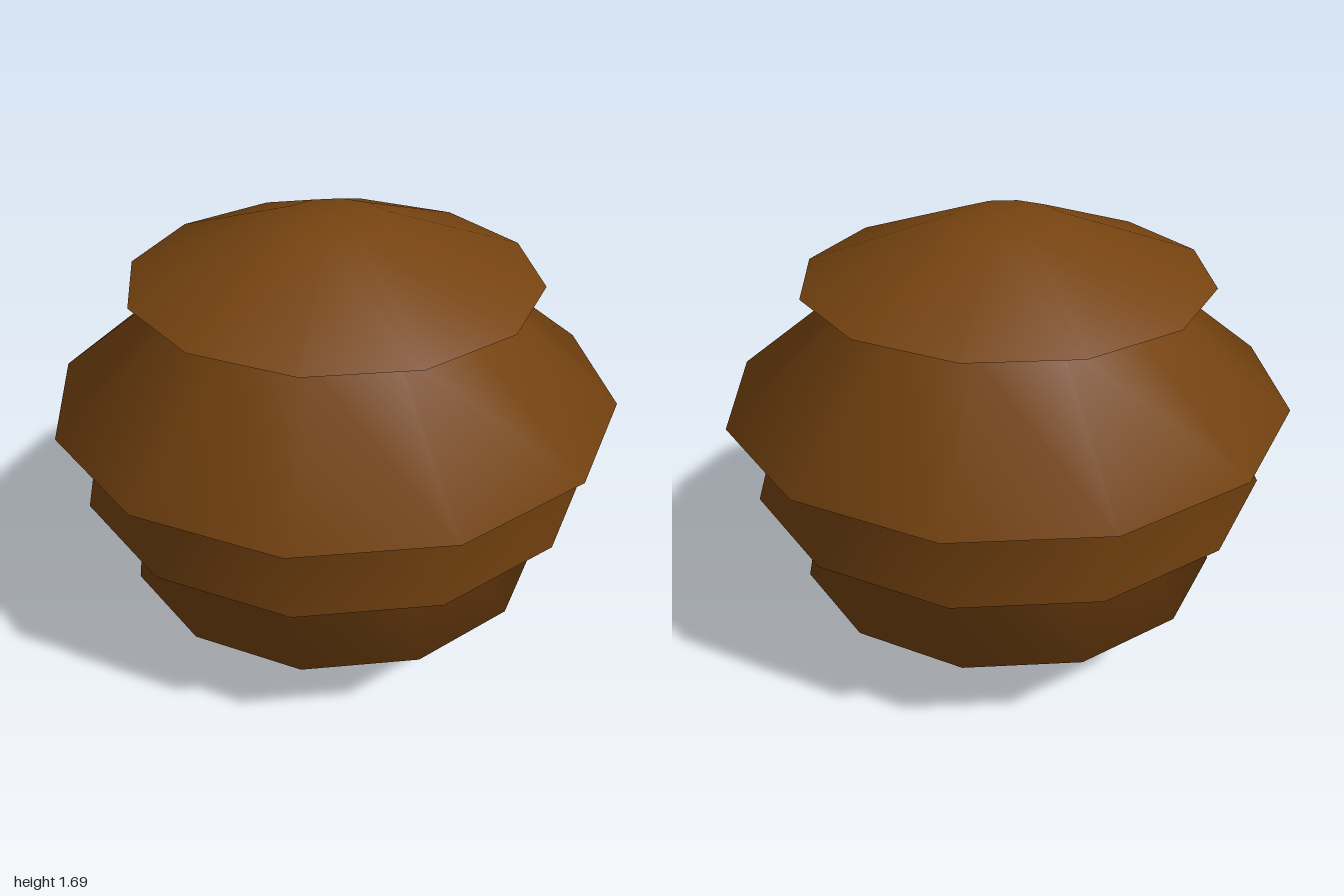
import * as THREE from 'three';

const brown = new THREE.MeshStandardMaterial({ color: 0x764310 });
brown.name = 'brown';

// Half outline from the bottom tip to the top, as [radius, height]
const profile = [
  [0, 0], [0.19, 0.045],          // bottom tip
  [0.487, 0.16], [0.41, 0.325],   // lowest tier
  [0.775, 0.385], [0.62, 0.662],  // second tier
  [0.92, 0.75], [0.66, 1.047],    // third tier
  [1.0, 1.047], [0.53, 1.427],    // widest tier
  [0.712, 1.477], [0.19, 1.674],  // cap
  [0, 1.693],
];

export function createModel() {
  const group = new THREE.Group();
  group.name = 'tieredCone';

  // Twelve-sided, smoothly shaded stack of flared tiers
  const geometry = new THREE.LatheGeometry(
    profile.map(([r, y]) => new THREE.Vector2(r, y)), 12);

  // Vertical normals at both poles keep the tips smooth
  const { position, normal } = geometry.attributes;
  for (let i = 0; i < position.count; i++) {
    if (Math.hypot(position.getX(i), position.getZ(i)) < 1e-6) {
      normal.setXYZ(i, 0, position.getY(i) > 0.5 ? 1 : -1, 0);
    }
  }

  const body = new THREE.Mesh(geometry, brown);
  body.name = 'tieredBody';
  group.add(body);
  return group;
}
